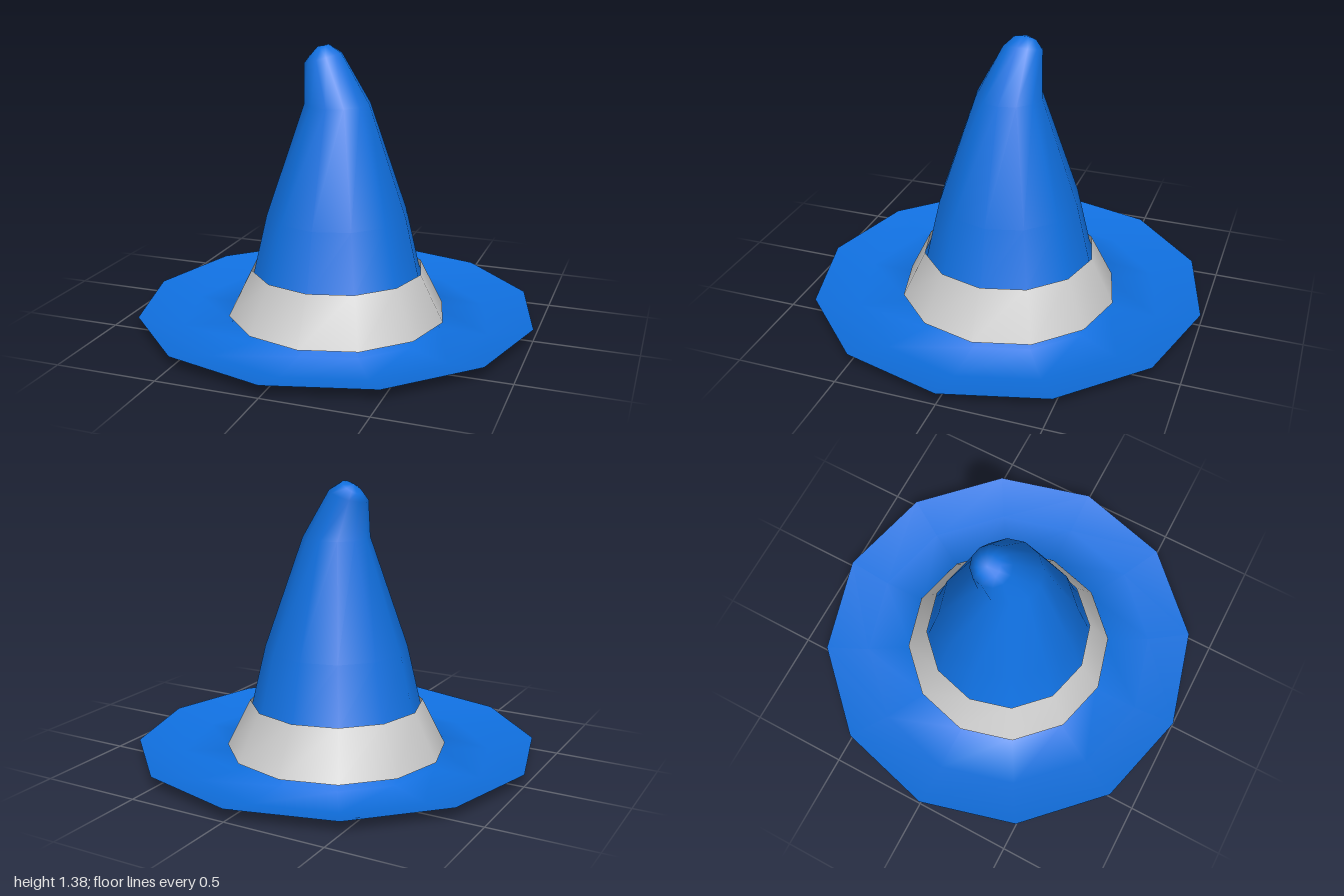
import * as THREE from 'three';

const SIDES = 12;

// Skin a stack of twelve-sided rings [radius, y, centreX, centreZ, lean], optionally closed by an apex.
function loft(rings, apex) {
  const positions = [];
  const index = [];
  for (const [r, y, cx = 0, cz = 0, lean = 0] of rings) {
    for (let i = 0; i < SIDES; i++) {
      const a = (i / SIDES) * Math.PI * 2;
      const along = r * Math.cos(a);
      positions.push(cx + along * Math.cos(lean), y + along * Math.sin(lean), cz - r * Math.sin(a));
    }
  }
  for (let k = 0; k < rings.length - 1; k++) {
    for (let i = 0; i < SIDES; i++) {
      const j = (i + 1) % SIDES;
      const l0 = k * SIDES + i;
      const l1 = k * SIDES + j;
      index.push(l0, l1, l1 + SIDES, l0, l1 + SIDES, l0 + SIDES);
    }
  }
  if (apex) {
    const last = (rings.length - 1) * SIDES;
    positions.push(...apex);
    for (let i = 0; i < SIDES; i++) {
      index.push(last + i, last + ((i + 1) % SIDES), last + SIDES);
    }
  }
  const geometry = new THREE.BufferGeometry();
  geometry.setAttribute('position', new THREE.Float32BufferAttribute(positions, 3));
  geometry.setIndex(index);
  geometry.computeVertexNormals();
  return geometry;
}

function addPart(group, name, geometry, color) {
  const material = new THREE.MeshStandardMaterial({ color, side: THREE.DoubleSide });
  const mesh = new THREE.Mesh(geometry, material);
  mesh.name = name;
  group.add(mesh);
}

export function createModel() {
  const group = new THREE.Group();
  group.name = 'pointedHat';

  // Brim and crown are one thin sheet, open underneath, ending in a bent tip
  addPart(group, 'brimAndCrown', loft([
    [1.0, 0.06],
    [0.78, 0],
    [0.54, 0],
    [0.425, 0.25],
    [0.355, 0.55],
    [0.165, 1.1],
    [0.098, 1.312, -0.088, -0.038, 0.29],
    [0.056, 1.35, -0.108, -0.042, 0.56],
  ], [-0.118, 1.366, -0.043]), 0x1070e0);

  // Sloping band around the foot of the crown
  addPart(group, 'band', loft([[0.553, 0.035], [0.435, 0.27]]), 0xcccccc);

  return group;
}
